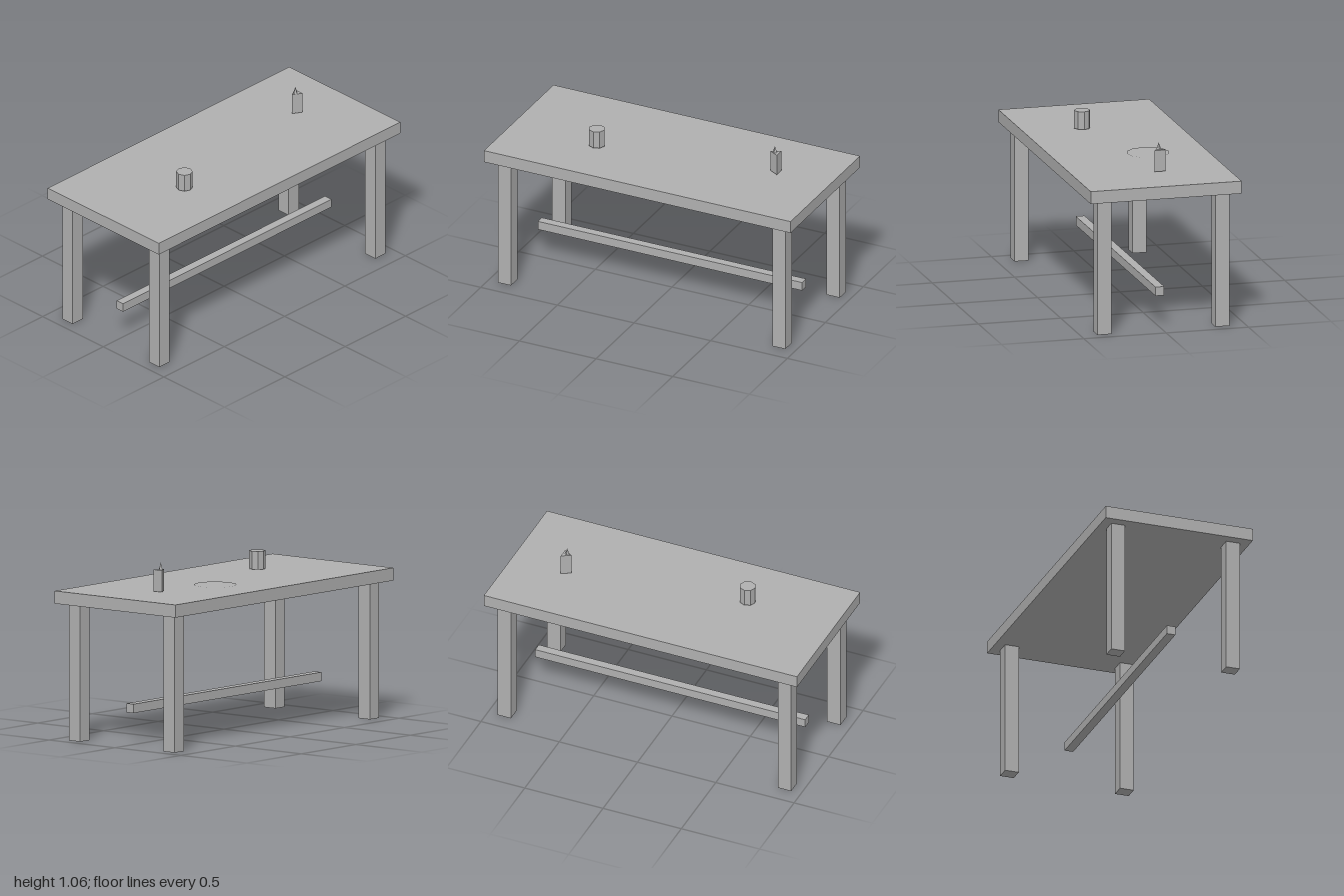
import * as THREE from 'three';

export function createModel() {
  const group = new THREE.Group();
  group.name = 'diningTable';
  const grey = new THREE.MeshStandardMaterial({ color: 0xb0b0b0 });
  grey.name = 'plain grey';
  grey.flatShading = true;

  const add = (name, geometry, x, y, z) => {
    const mesh = new THREE.Mesh(geometry, grey);
    mesh.name = name;
    mesh.position.set(x, y, z);
    group.add(mesh);
    return mesh;
  };

  // Table: slab, four square legs and a central stretcher
  add('tableTop', new THREE.BoxGeometry(2, 0.075, 0.916), 0, 0.847, 0);
  const leg = new THREE.BoxGeometry(0.085, 0.81, 0.085);
  for (const x of [-1, 1]) {
    for (const z of [-1, 1]) {
      const side = (z > 0 ? 'front' : 'back') + (x > 0 ? 'Left' : 'Right');
      add(side + 'Leg', leg, x * 0.895, 0.405, z * 0.358);
    }
  }
  add('stretcher', new THREE.BoxGeometry(1.725, 0.053, 0.053), 0, 0.218, 0);

  // Flat plate lying on the slab
  const plate = new THREE.CircleGeometry(0.127, 12).rotateX(-Math.PI / 2);
  add('plate', plate, 0.213, 0.887, -0.11);

  // Eight-sided cup
  add('cup', new THREE.CylinderGeometry(0.048, 0.048, 0.107, 8), -0.436, 0.944, 0.108);

  // Three-sided candle pointing to -x, with a four-sided flame
  const candle = new THREE.CylinderGeometry(0.0373, 0.0373, 0.128, 3).rotateY(-Math.PI / 2);
  add('candle', candle, 0.654, 0.954, -0.054);
  add('flame', new THREE.ConeGeometry(0.014, 0.041, 4), 0.645, 1.0385, -0.054);

  return group;
}
